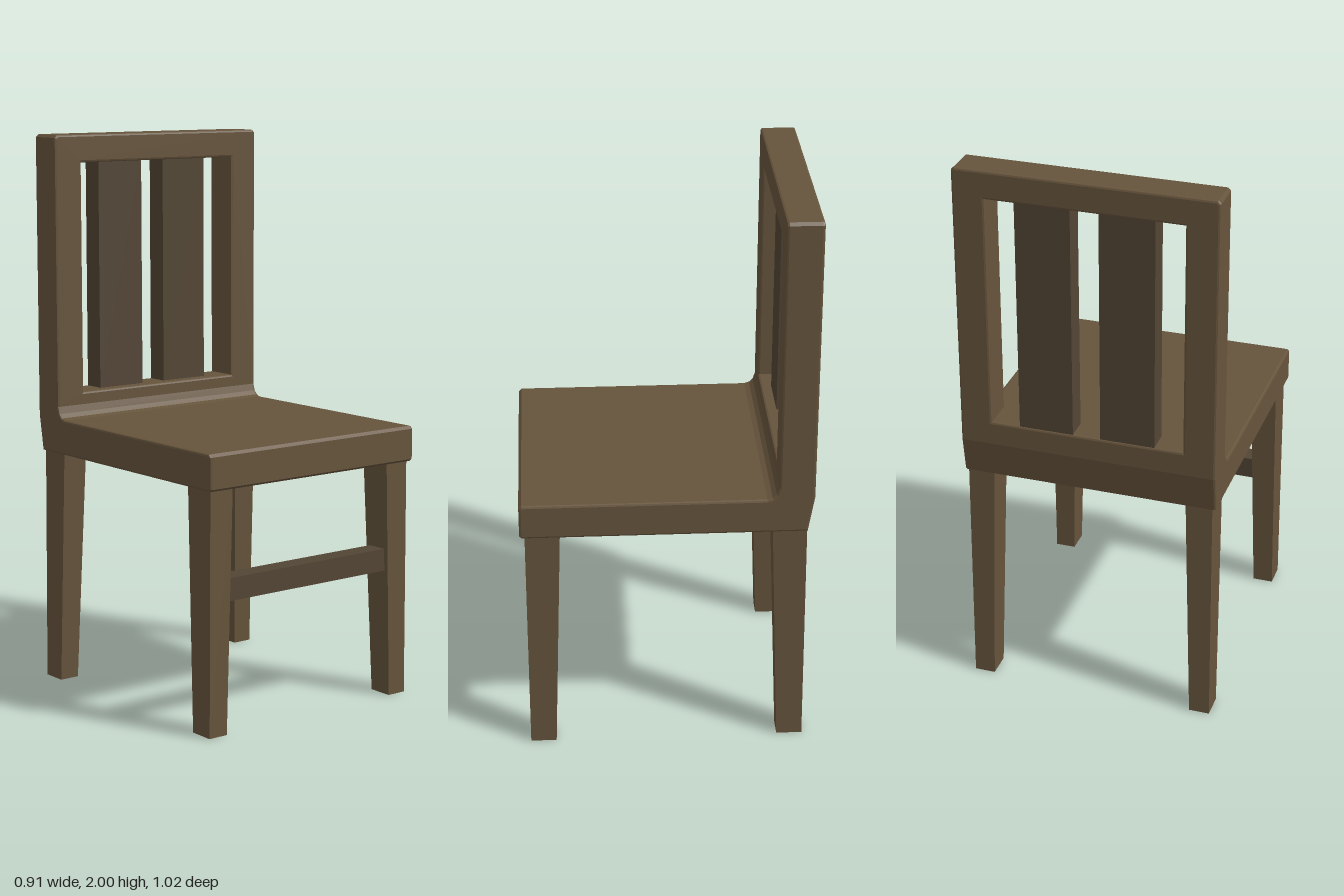
import * as THREE from 'three';

const wood = new THREE.MeshStandardMaterial({ color: 0x66543c });
const darkWood = new THREE.MeshStandardMaterial({ color: 0x524534 });
const HALF = 0.457, BEVEL = 0.008;

const shapeOf = pts => new THREE.Shape(pts.map(p => new THREE.Vector2(...p)));

// Extrude a shape to a total depth centred on z = 0, with a fine chamfer
function chamfered(shape, depth) {
  const g = new THREE.ExtrudeGeometry(shape, {
    depth: depth - 2 * BEVEL, bevelEnabled: true, bevelSegments: 2,
    bevelSize: BEVEL, bevelThickness: BEVEL, bevelOffset: -BEVEL,
  });
  return g.translate(0, 0, BEVEL - depth / 2);
}

// Box whose bottom and top rectangles differ: [x0, x1, z0, z1]
function taperedBox(y0, y1, bottom, top) {
  const g = new THREE.BoxGeometry(1, 1, 1);
  const p = g.attributes.position;
  for (let i = 0; i < p.count; i++) {
    const up = p.getY(i) > 0, r = up ? top : bottom;
    p.setXYZ(i, r[p.getX(i) > 0 ? 1 : 0], up ? y1 : y0, r[p.getZ(i) > 0 ? 3 : 2]);
  }
  const flat = g.toNonIndexed();
  flat.computeVertexNormals();
  return flat;
}

export function createModel() {
  const chair = new THREE.Group();
  chair.name = 'chair';
  const add = (name, geometry, material = wood) => {
    const mesh = new THREE.Mesh(geometry, material);
    mesh.name = name;
    chair.add(mesh);
  };

  // Seat with its curved rise into the back, as a side profile (z, y)
  const profile = shapeOf([
    [-0.488, 0.853], [0.502, 0.853], [0.51, 0.861], [0.51, 0.97], [0.5, 0.98],
    [-0.345, 0.98], [-0.363, 0.986], [-0.377, 1.0], [-0.385, 1.025],
    [-0.385, 1.04], [-0.51, 1.04], [-0.51, 0.985],
  ]);
  add('seat', chamfered(profile, 2 * HALF).rotateY(-Math.PI / 2));

  // Back frame with one opening
  const c = 0.01;
  const frame = shapeOf([
    [-HALF, 1.02], [HALF, 1.02], [HALF, 2 - c], [HALF - c, 2], [c - HALF, 2], [-HALF, 2 - c],
  ]);
  frame.holes.push(new THREE.Path([[-0.342, 1.07], [-0.342, 1.9], [0.342, 1.9], [0.342, 1.07]]
    .map(p => new THREE.Vector2(...p))));
  add('backFrame', chamfered(frame, 0.125).translate(0, 0, -0.4475));

  for (const s of [-1, 1]) {
    const side = s > 0 ? 'left' : 'right';
    // Slats sit towards the rear of the frame
    add(side + 'Slat', new THREE.BoxGeometry(0.192, 0.86, 0.08).translate(s * 0.145, 1.485, -0.465), darkWood);

    // Legs taper on their inner faces
    const span = (inner, outer) => (s > 0 ? [inner, outer] : [-outer, -inner]);
    const low = span(0.373, 0.447), high = span(0.348, 0.443);
    add(side + 'FrontLeg', taperedBox(0, 0.86, [...low, 0.4, 0.492], [...high, 0.37, 0.492]));
    add(side + 'BackLeg', taperedBox(0, 0.86, [...low, -0.492, -0.4], [...high, -0.487, -0.367]));
  }

  // Stretcher between the front legs
  add('frontStretcher', new THREE.BoxGeometry(0.76, 0.08, 0.075).translate(0, 0.5, 0.437), darkWood);
  return chair;
}
